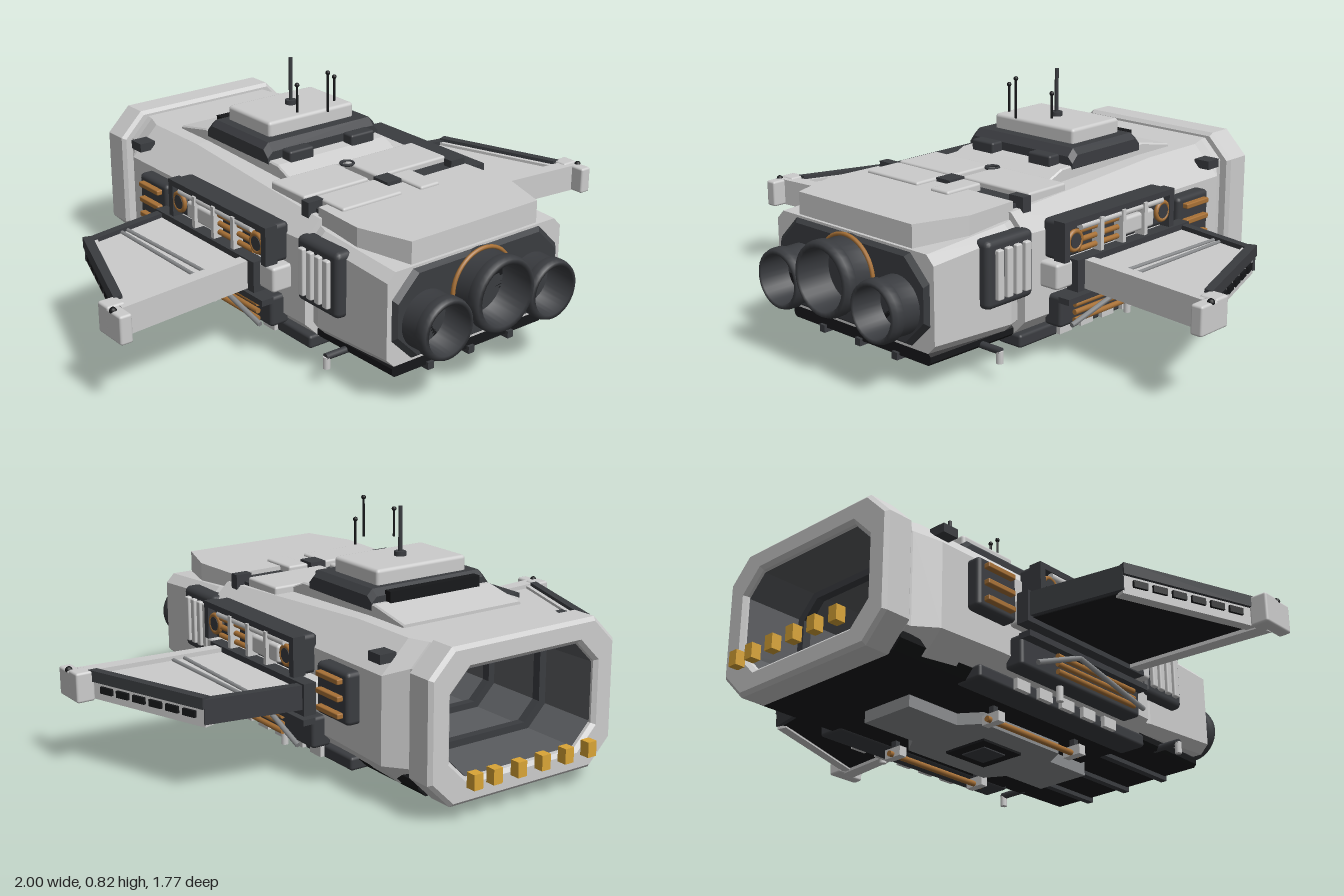
import * as THREE from 'three';
import { RoundedBoxGeometry } from 'three/addons/geometries/RoundedBoxGeometry.js';

const mat = (color, side = THREE.FrontSide) => new THREE.MeshStandardMaterial({ color, side });

export function createModel() {
  const root = new THREE.Group();
  const light = mat(0xcccccc), grey = mat(0x8a8c8e), dark = mat(0x3a3c40), black = mat(0x17181a);
  const copper = mat(0xa87136), gold = mat(0xd9a436), inner = mat(0x5a5c5f, THREE.DoubleSide);

  const add = (name, geo, m) => {
    const mesh = new THREE.Mesh(geo, m);
    mesh.name = name;
    root.add(mesh);
    return mesh;
  };
  // box from its extents, with softened edges if r > 0; x extents mirror with s
  const box = (name, m, x0, x1, y0, y1, z0, z1, r = 0, s = 1) => {
    const d = [x1 - x0, y1 - y0, z1 - z0];
    const geo = r ? new RoundedBoxGeometry(...d, 2, r) : new THREE.BoxGeometry(...d);
    return add(name, geo.translate(s * (x0 + x1) / 2, (y0 + y1) / 2, (z0 + z1) / 2), m);
  };
  const rod = (name, m, a, b, r, sides = 10) => {
    const p = new THREE.Vector3(...a), q = new THREE.Vector3(...b), d = q.clone().sub(p);
    const mesh = add(name, new THREE.CylinderGeometry(r, r, d.length(), sides), m);
    mesh.position.copy(p).add(q).multiplyScalar(0.5);
    mesh.quaternion.setFromUnitVectors(new THREE.Vector3(0, 1, 0), d.normalize());
    return mesh;
  };
  // flat plate with an outline in x and z
  const slab = (name, m, pts, y0, y1, s = 1) => {
    const shape = new THREE.Shape(pts.map(([x, z]) => new THREE.Vector2(s * x, z)));
    const geo = new THREE.ExtrudeGeometry(shape, { depth: y1 - y0, bevelEnabled: false });
    return add(name, geo.rotateX(Math.PI / 2).translate(0, y1, 0), m);
  };
  // octagon, counter-clockwise seen from +z
  const oct = (w, y0, y1, c, d = c) => [[w - d, y0], [w, y0 + d], [w, y1 - c], [w - c, y1],
    [-w + c, y1], [-w, y1 - c], [-w, y0 + d], [-w + d, y0]];
  // skin over octagonal sections [z, width, bottom, top, top cut, bottom cut]
  const loft = (name, m, sections, cap0, cap1) => {
    const rings = sections.map(([z, ...o]) => oct(...o).map(([x, y]) => [x, y, z]));
    const p = [];
    for (let i = 0; i + 1 < rings.length; i++) for (let j = 0; j < 8; j++) {
      const k = (j + 1) % 8, [u, v] = [rings[i], rings[i + 1]];
      p.push(...u[j], ...u[k], ...v[k], ...u[j], ...v[k], ...v[j]);
    }
    const e = rings[rings.length - 1], f = rings[0];
    for (let j = 1; j < 7; j++) {
      if (cap1) p.push(...e[0], ...e[j], ...e[j + 1]);
      if (cap0) p.push(...f[0], ...f[j + 1], ...f[j]);
    }
    const geo = new THREE.BufferGeometry();
    geo.setAttribute('position', new THREE.Float32BufferAttribute(p, 3));
    geo.computeVertexNormals();
    return add(name, geo, m);
  };
  const frame = (name, m, outer, hole, z, depth, bevel = 0) => {
    const v = (a) => a.map(([x, y]) => new THREE.Vector2(x, y));
    const shape = new THREE.Shape(v(outer));
    shape.holes.push(new THREE.Path(v(hole)));
    const geo = new THREE.ExtrudeGeometry(shape, { depth: depth - 2 * bevel, bevelEnabled: bevel > 0,
      bevelThickness: bevel, bevelSize: bevel, bevelOffset: -bevel, bevelSegments: 1 });
    return add(name, geo.translate(0, 0, z + bevel), m);
  };

  // hull shell, hollow hold and rear door frame
  loft('hull', light, [[-0.76, 0.32, 0.08, 0.535, 0.07], [-0.68, 0.33, 0.08, 0.535, 0.07],
    [-0.61, 0.385, 0.08, 0.535, 0.1, 0.07], [-0.35, 0.385, 0.1, 0.535, 0.1, 0.06],
    [0.1, 0.385, 0.1, 0.515, 0.08, 0.06], [0.38, 0.38, 0.1, 0.505, 0.06]], false, true);
  loft('underside', black, [[-0.72, 0.33, 0.07, 0.13, 0.01, 0.03], [0.36, 0.33, 0.07, 0.13, 0.01, 0.03]], true, true);
  loft('holdLining', inner, [[-0.8, 0.285, 0.14, 0.475, 0.07], [0.34, 0.27, 0.15, 0.465, 0.07]], false, true);
  frame('rearDoorFrame', light, oct(0.365, 0.06, 0.555, 0.085), oct(0.285, 0.135, 0.48, 0.07), -0.82, 0.11, 0.012);
  for (let i = 0; i < 4; i++)
    frame('holdRib', dark, oct(0.282, 0.14, 0.474, 0.07), oct(0.255, 0.165, 0.45, 0.06), -0.6 + i * 0.25, 0.03);
  const fan = add('holdFanRing', new THREE.TorusGeometry(0.11, 0.018, 10, 32), black);
  fan.position.set(0, 0.31, 0.31);
  for (let i = 0; i < 8; i++) {
    const a = i * Math.PI / 4;
    rod('holdFanBlade', black, [0, 0.31, 0.31], [0.11 * Math.cos(a), 0.31 + 0.11 * Math.sin(a), 0.31], 0.012, 6);
  }
  for (const x of [-0.22, -0.125, -0.03, 0.065, 0.16, 0.235])
    box('beaconCube', gold, x - 0.017, x + 0.017, 0.13, 0.18, -0.887, -0.852);

  // engine block
  loft('engineBlock', light, [[0.36, 0.34, 0.13, 0.48, 0.03], [0.42, 0.36, 0.13, 0.48, 0.03],
    [0.75, 0.36, 0.15, 0.46, 0.03]], true, true);
  loft('engineBlockBase', black, [[0.36, 0.33, 0.1, 0.14, 0.01], [0.73, 0.32, 0.1, 0.14, 0.01]], true, true);
  loft('enginePlate', dark, [[0.74, 0.35, 0.15, 0.46, 0.08], [0.765, 0.33, 0.17, 0.44, 0.08]], false, true);
  const engine = (x, y, r, z1) => {
    const pts = [[0, 0.02], [r * 0.78, 0.02], [r * 0.82, z1 - 0.72], [r * 0.95, z1 - 0.72], [r, z1 - 0.735],
      [r, z1 - 0.76], [r * 0.93, z1 - 0.765], [r * 0.95, 0.04], [r, 0.02], [r, 0]];
    const geo = new THREE.LatheGeometry(pts.map(([a, b]) => new THREE.Vector2(a, b)), 32);
    const m = add('engineNozzle', geo.rotateX(Math.PI / 2), mat(0x3a3c40, THREE.DoubleSide));
    m.position.set(x, y, 0.72);
    const core = add('engineCore', new THREE.CircleGeometry(r * 0.8, 32), black);
    core.position.set(x, y, 0.765);
  };
  engine(0, 0.335, 0.123, 0.88);
  engine(0.22, 0.283, 0.1, 0.87);
  engine(-0.22, 0.283, 0.1, 0.87);
  const band = add('engineCopperBand', new THREE.TorusGeometry(0.122, 0.007, 8, 24, Math.PI), copper);
  band.position.set(0, 0.335, 0.775);

  // roof: front deck, tiles and raised plates
  slab('frontDeck', light, [[-0.31, 0.36], [0.31, 0.36], [0.32, 0.56], [0.26, 0.74], [-0.26, 0.74], [-0.32, 0.56]], 0.46, 0.535);
  box('deckTile', light, -0.275, -0.035, 0.49, 0.545, 0.3, 0.44, 0.008);
  box('deckTile', light, 0.035, 0.115, 0.49, 0.545, 0.3, 0.45, 0.008);
  box('roofTile', light, -0.3, -0.035, 0.49, 0.54, 0.1, 0.275, 0.008);
  box('roofTile', light, 0, 0.3, 0.49, 0.54, 0.1, 0.275, 0.008);
  box('roofJoint', dark, -0.3, 0.3, 0.49, 0.52, 0.27, 0.37);
  box('roofHatch', dark, -0.03, 0.03, 0.5, 0.548, 0.29, 0.36);
  const handle = add('roofRing', new THREE.TorusGeometry(0.022, 0.005, 6, 20), dark);
  handle.rotation.x = Math.PI / 2;
  handle.position.set(-0.005, 0.54, 0.125);
  loft('roofPlate', light, [[-0.52, 0.235, 0.5, 0.545, 0.005], [-0.37, 0.235, 0.5, 0.575, 0.005],
    [0.04, 0.23, 0.5, 0.56, 0.005], [0.1, 0.23, 0.5, 0.535, 0.005]], true, true);
  box('towerRearStrip', black, -0.18, 0.18, 0.56, 0.61, -0.38, -0.35);
  loft('towerBase', dark, [[-0.355, 0.235, 0.55, 0.595, 0.02, 0.002], [-0.33, 0.235, 0.55, 0.615, 0.02, 0.002],
    [-0.03, 0.235, 0.55, 0.615, 0.02, 0.002], [-0.005, 0.235, 0.55, 0.59, 0.02, 0.002]], true, true);
  box('towerTop', light, -0.18, 0.18, 0.605, 0.665, -0.31, -0.07, 0.012);
  for (const x of [-0.13, 0.13]) box('towerLamp', dark, x - 0.05, x + 0.05, 0.55, 0.595, -0.005, 0.045, 0.008);

  // antennas
  rod('mainAntenna', dark, [0, 0.66, -0.19], [0, 0.83, -0.19], 0.007);
  rod('mainAntennaFoot', dark, [0, 0.66, -0.19], [0, 0.68, -0.19], 0.02, 16);
  for (const [x, z, top] of [[0, 0.015, 0.825], [-0.085, -0.042, 0.785], [0.09, -0.064, 0.775]]) {
    rod('antenna', black, [x, 0.69, z], [x, top, z], 0.004, 8);
    add('antennaTip', new THREE.SphereGeometry(0.008, 10, 8), black).position.set(x, top, z);
  }

  // belly
  slab('bellyPlate', grey, [[-0.1, -0.46], [0.1, -0.46], [0.1, -0.25], [0.17, -0.2], [0.17, 0.16], [0.1, 0.2],
    [0.1, 0.38], [-0.1, 0.38], [-0.1, 0.2], [-0.17, 0.16], [-0.17, -0.2], [-0.1, -0.25]], 0.03, 0.08);
  box('bellyHatch', black, -0.085, 0.085, 0.022, 0.04, -0.11, 0.07);
  box('bellyHatchInset', dark, -0.05, 0.05, 0.018, 0.03, -0.07, 0.03);
  for (const x of [-0.17, 0, 0.17]) box('bellyRail', dark, x - 0.012, x + 0.012, 0.085, 0.11, 0.36, 0.74);

  for (const s of [1, -1]) {
    const sb = (name, m, x0, x1, y0, y1, z0, z1, r) => box(name, m, x0, x1, y0, y1, z0, z1, r, s);
    const sr = (name, m, [x, y, z], [x2, y2, z2], r, n) => rod(name, m, [s * x, y, z], [s * x2, y2, z2], r, n);

    // belly rods, clips and pins
    sr('bellyRod', copper, [0.22, 0.022, -0.24], [0.22, 0.022, 0.2], 0.01);
    for (const z of [-0.21, 0.18]) sb('bellyRodClip', light, 0.185, 0.255, 0.012, 0.045, z - 0.015, z + 0.015);
    for (const z of [-0.21, 0.18]) sb('bellyRodPost', dark, 0.21, 0.23, 0.03, 0.09, z - 0.01, z + 0.01);
    sb('bellySill', dark, 0.26, 0.36, 0.065, 0.11, -0.42, 0.38, 0.01);
    for (let i = 0; i < 5; i++) {
      const z = -0.24 + i * 0.105;
      sb('sillClip', light, 0.32, 0.375, 0.07, 0.105, z - 0.03, z + 0.03);
    }
    sr('sidePin', light, [0.4, 0.07, -0.1], [0.4, 0.14, -0.1], 0.012);
    sr('sidePin', light, [0.4, 0.07, 0.515], [0.4, 0.11, 0.515], 0.012);
    sr('pinArm', dark, [0.3, 0.11, 0.515], [0.405, 0.11, 0.515], 0.012);

    // upper side rack with copper pipes
    sb('upperRack', dark, 0.37, 0.435, 0.35, 0.48, -0.255, 0.29, 0.015);
    sb('upperRackEdge', dark, 0.42, 0.465, 0.46, 0.48, -0.255, 0.285);
    for (const z of [-0.245, 0.28]) sb('upperRackEnd', dark, 0.42, 0.465, 0.35, 0.48, z - 0.012, z + 0.012);
    for (let i = 0; i < 3; i++)
      sr('upperPipe', copper, [0.45, 0.375 + i * 0.03, 0.02], [0.45, 0.375 + i * 0.03, 0.21], 0.009);
    sr('upperPipeLong', light, [0.455, 0.45, -0.2], [0.455, 0.45, 0.21], 0.012);
    sb('rackCover', light, 0.42, 0.46, 0.37, 0.43, -0.16, 0.0, 0.01);
    for (const z of [-0.1, 0.01, 0.12]) sb('pipeClamp', light, 0.43, 0.472, 0.355, 0.465, z - 0.008, z + 0.008);
    for (const z of [-0.205, 0.235]) {
      const ring = add('pipeRing', new THREE.TorusGeometry(0.03, 0.008, 8, 24).rotateY(Math.PI / 2), copper);
      ring.position.set(s * 0.455, 0.41, z);
      sr('pipeHub', dark, [0.42, 0.41, z], [0.462, 0.41, z], 0.024, 16);
    }

    // wing socket
    sb('wingSocket', light, 0.37, 0.45, 0.26, 0.345, -0.31, 0.31, 0.01);
    sb('wingRootSeal', dark, 0.43, 0.475, 0.245, 0.35, -0.33, 0.24);

    // lower side rack with pipes and struts
    sb('lowerRack', dark, 0.36, 0.43, 0.12, 0.225, -0.31, 0.27, 0.012);
    sb('lowerRackLip', dark, 0.42, 0.465, 0.205, 0.225, -0.31, 0.27);
    for (let i = 0; i < 3; i++)
      sr('lowerPipe', copper, [0.445, 0.14 + i * 0.026, -0.16], [0.445, 0.14 + i * 0.026, 0.22], 0.009);
    sr('lowerStrut', grey, [0.46, 0.21, -0.07], [0.46, 0.135, 0.25], 0.009, 6);
    sr('lowerStrut', grey, [0.46, 0.21, -0.07], [0.46, 0.13, -0.27], 0.009, 6);

    // front vent with upright slats, rear vent with copper bars
    sb('frontVent', dark, 0.33, 0.395, 0.245, 0.465, 0.355, 0.56, 0.02);
    for (let i = 0; i < 4; i++) {
      const z = 0.395 + i * 0.04;
      sb('frontVentSlat', light, 0.38, 0.41, 0.275, 0.435, z - 0.013, z + 0.013, 0.005);
    }
    sb('rearVent', dark, 0.37, 0.43, 0.25, 0.42, -0.5, -0.33, 0.015);
    for (const y of [0.28, 0.335, 0.39]) sb('rearVentBar', copper, 0.42, 0.45, y - 0.009, y + 0.009, -0.475, -0.355, 0.004);
    sb('shoulderBlock', dark, 0.33, 0.39, 0.47, 0.5, -0.61, -0.55);
    sb('shoulderBlock', dark, 0.27, 0.33, 0.49, 0.545, 0.3, 0.335);

    // wing: panel, black underside, beams, ribs, slotted edge and tip
    const outline = [[0.45, -0.31], [0.78, -0.25], [0.94, 0.23], [0.45, 0.2]];
    slab('wingPanel', light, outline, 0.275, 0.33, s);
    slab('wingUnderside', black, outline, 0.262, 0.276, s);
    slab('wingFrontBeam', light, [[0.45, 0.165], [0.95, 0.2], [0.96, 0.255], [0.45, 0.205]], 0.25, 0.345, s);
    slab('wingRearRim', dark, [[0.45, -0.325], [0.79, -0.265], [0.78, -0.238], [0.45, -0.295]], 0.265, 0.345, s);
    slab('wingEdge', light, [[0.75, -0.25], [0.785, -0.26], [0.945, 0.21], [0.91, 0.21]], 0.255, 0.34, s);
    slab('wingEdgeTop', dark, [[0.765, -0.255], [0.795, -0.265], [0.95, 0.19], [0.92, 0.19]], 0.315, 0.352, s);
    for (let i = 0; i < 6; i++) {
      const t = 0.12 + i * 0.14, slot = sb('wingEdgeSlot', black, -0.008, 0.008, -0.011, 0.011, -0.025, 0.025);
      slot.position.set(s * (0.786 + 0.16 * t), 0.292, -0.26 + 0.47 * t);
      slot.rotation.y = s * 0.33;
    }
    for (const [a, b] of [[0.6, 0.69], [0.575, 0.65]])
      sr('wingRib', grey, [a + 0.05, 0.332, -0.27], [b - 0.04, 0.332, 0.18], 0.007, 6);
    sb('wingTip', light, 0.935, 0.998, 0.25, 0.35, 0.175, 0.235, 0.008);
    sb('wingTipFoot', light, 0.955, 0.998, 0.25, 0.345, 0.22, 0.305, 0.008);
    add('wingTipLamp', new THREE.SphereGeometry(0.012, 12, 8), black).position.set(s * 0.988, 0.343, 0.25);
  }
  return root;
}
